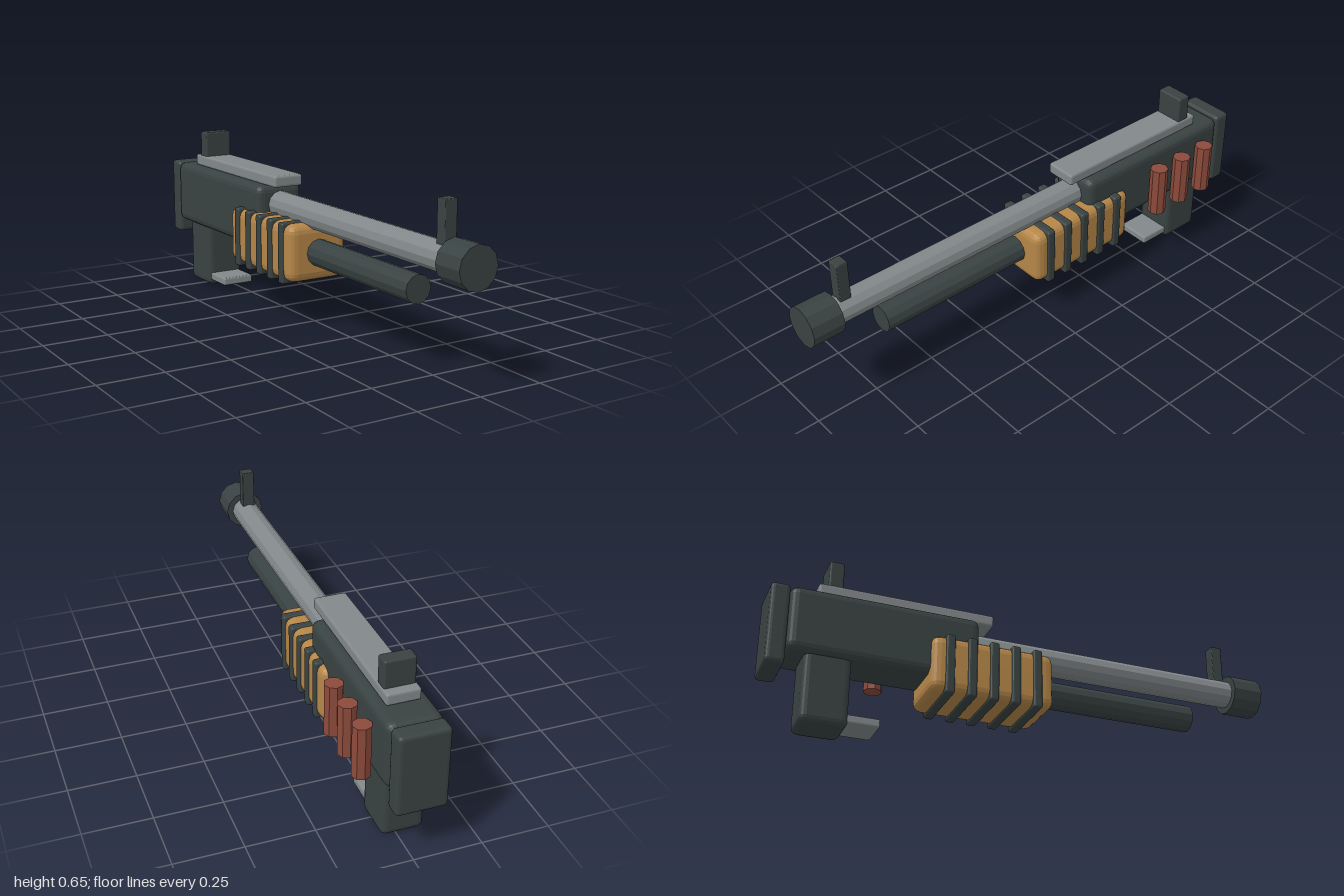
import * as THREE from 'three';
import { RoundedBoxGeometry } from 'three/addons/geometries/RoundedBoxGeometry.js';

const CX = -0.022; // centre line of the body

function material(name, color) {
  const m = new THREE.MeshStandardMaterial({ color, flatShading: true });
  m.name = name;
  return m;
}

export function createModel() {
  const group = new THREE.Group();
  const dark = material('darkSteel', 0x394242);
  const steel = material('greySteel', 0x82888a);
  const wood = material('wood', 0xb58648);
  const red = material('shellRed', 0x8c4a3b);

  function add(name, geometry, mat, x, y, z) {
    const mesh = new THREE.Mesh(geometry, mat);
    mesh.name = name;
    mesh.position.set(x, y, z);
    group.add(mesh);
  }

  // Bevelled box given by width and its y and z ranges
  function box(name, mat, width, y0, y1, z0, z1, bevel) {
    const geometry = new RoundedBoxGeometry(width, y1 - y0, z1 - z0, 2, bevel);
    add(name, geometry, mat, CX, (y0 + y1) / 2, (z0 + z1) / 2);
  }

  // Twelve-sided rod lying along z
  function rod(name, mat, radius, y, z0, z1) {
    const geometry = new THREE.CylinderGeometry(radius, radius, z1 - z0, 12).rotateX(Math.PI / 2);
    add(name, geometry, mat, CX, y, (z0 + z1) / 2);
  }

  // Body, butt and grip
  box('receiver', dark, 0.198, 0.253, 0.505, -0.93, -0.22, 0.03);
  box('buttPad', dark, 0.186, 0.195, 0.505, -1.0, -0.93, 0.015);
  box('grip', dark, 0.156, 0.002, 0.3, -0.862, -0.69, 0.024);
  box('triggerPlate', steel, 0.133, 0.023, 0.055, -0.71, -0.575, 0.007);

  // Top rail and sights
  box('topRail', steel, 0.124, 0.505, 0.55, -0.825, -0.155, 0.009);
  box('rearSight', dark, 0.114, 0.54, 0.651, -0.79, -0.735, 0.007);
  box('frontSight', dark, 0.05, 0.46, 0.625, 0.812, 0.857, 0.004);

  // Barrel, muzzle and magazine tube
  rod('barrel', steel, 0.053, 0.427, -0.3, 0.89);
  rod('muzzle', dark, 0.078, 0.427, 0.877, 1.0);
  rod('magazineTube', dark, 0.052, 0.289, -0.2, 0.69);

  // Ribbed fore-end
  box('foreEnd', wood, 0.248, 0.18, 0.4, -0.412, 0.065, 0.034);
  for (let i = 0; i < 5; i++) {
    const z = -0.003 - i * 0.085;
    box('foreEndRib', dark, 0.262, 0.17, 0.405, z - 0.018, z + 0.018, 0.009);
  }

  // Spare shells along the left side
  for (const z of [-0.557, -0.683, -0.81]) {
    add('spareShell', new THREE.CylinderGeometry(0.035, 0.035, 0.2, 8), red, 0.115, 0.348, z);
  }

  return group;
}
